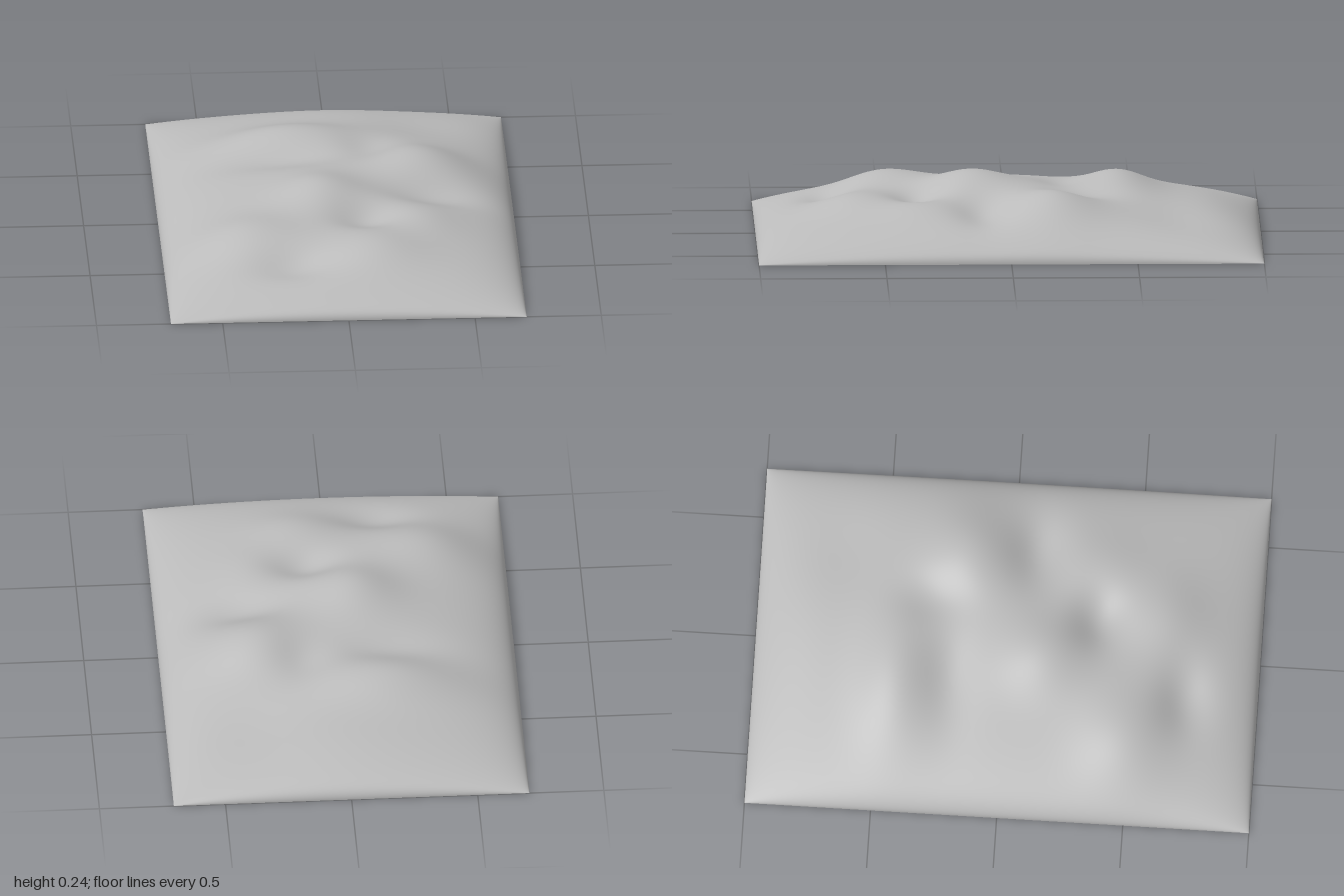
import * as THREE from 'three';

const HALF_X = 0.705, HALF_Z = 1, BASE = 0.192;

// Swells and hollows: x, z, strength, radius in x, radius in z
const BUMPS = [
  [-0.08, 0.15, 0.27, 0.17, 0.17], // highest hill
  [0.37, -0.18, 0.34, 0.22, 0.17], // side hill
  [-0.2, -0.45, 0.3, 0.3, 0.14],   // back ridge
  [-0.42, 0.5, 0.33, 0.22, 0.18],  // front side hill
  [0.14, 0.64, 0.2, 0.18, 0.15],   // front ridge
  [0.34, 0.38, 0.1, 0.14, 0.16],
  [0, -0.82, 0.08, 0.35, 0.15],
  [-0.2, -0.22, -0.14, 0.22, 0.1], // hollows
  [-0.2, 0.72, -0.28, 0.16, 0.1],
  [0.1, 0.36, -0.24, 0.13, 0.1],
  [0.38, 0.1, -0.25, 0.18, 0.11],
  [0.15, -0.3, -0.14, 0.11, 0.14],
  [0.38, -0.68, -0.12, 0.2, 0.18],
];

// Rounded cushion shape multiplied by the bumps
function height(u, v) {
  const x = u * HALF_X, z = v * HALF_Z;
  let swell = 1;
  for (const [bx, bz, amount, rx, rz] of BUMPS) {
    swell += amount * Math.exp(-(((x - bx) / rx) ** 2) - ((z - bz) / rz) ** 2);
  }
  return BASE * swell * Math.sqrt(Math.max(0, (1 - u * u) * (1 - v * v)));
}

export function createModel() {
  const group = new THREE.Group();
  group.name = 'hillyMound';
  const grey = new THREE.MeshStandardMaterial({ color: 0xbbbbbb });
  grey.name = 'grey';

  // Upper surface: rows crowd towards the rim, where it is steepest
  const top = new THREE.PlaneGeometry(2, 2, 110, 140).rotateX(-Math.PI / 2);
  const p = top.attributes.position;
  for (let i = 0; i < p.count; i++) {
    const u = Math.sin(p.getX(i) * Math.PI / 2);
    const v = Math.sin(p.getZ(i) * Math.PI / 2);
    p.setXYZ(i, u * HALF_X, height(u, v), v * HALF_Z);
  }
  top.computeVertexNormals();
  const surface = new THREE.Mesh(top, grey);
  surface.name = 'hillySurface';

  // Flat underside
  const base = new THREE.Mesh(
    new THREE.PlaneGeometry(HALF_X * 2, HALF_Z * 2).rotateX(Math.PI / 2), grey);
  base.name = 'flatBase';

  group.add(surface, base);
  return group;
}
